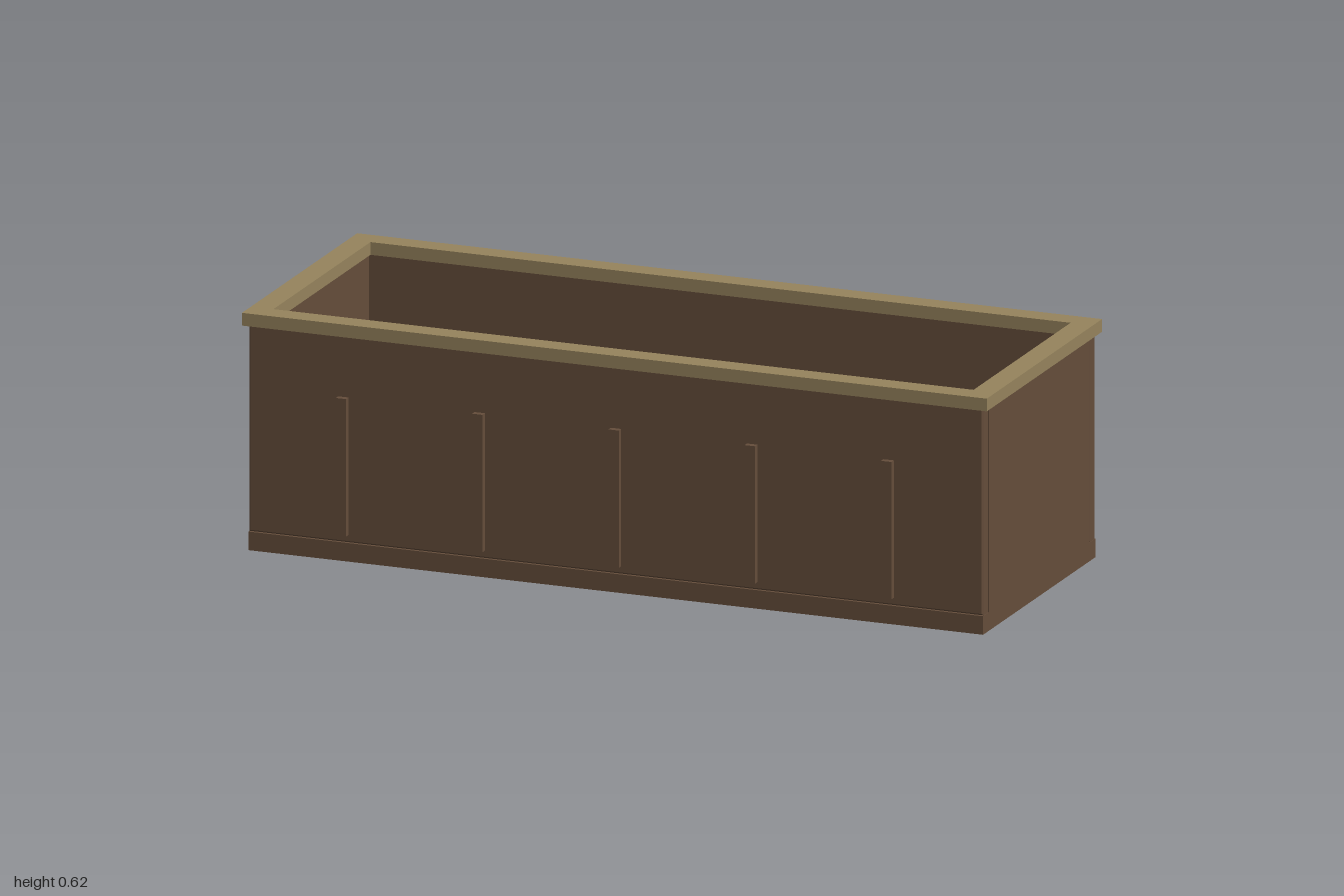
import * as THREE from 'three';

export function createModel() {
  const model = new THREE.Group();
  const wood = new THREE.MeshStandardMaterial({ color: 0x664e3b });
  wood.name = 'brown wood';
  const trim = new THREE.MeshStandardMaterial({ color: 0x96845d });
  trim.name = 'tan trim';

  function add(name, geometry, material, x, y, z) {
    const mesh = new THREE.Mesh(geometry, material);
    mesh.name = name;
    mesh.position.set(x, y, z);
    model.add(mesh);
    return mesh;
  }

  function rectangle(w, h, x = 0, y = 0, Type = THREE.Shape) {
    return new Type([
      new THREE.Vector2(x - w / 2, y - h / 2), new THREE.Vector2(x + w / 2, y - h / 2),
      new THREE.Vector2(x + w / 2, y + h / 2), new THREE.Vector2(x - w / 2, y + h / 2),
    ]);
  }

  // Board in the XY plane with chamfered edges, centred on the origin
  function chamferedBoard(w, h, d, c) {
    const geometry = new THREE.ExtrudeGeometry(rectangle(w - 2 * c, h - 2 * c), {
      depth: d - 2 * c, bevelEnabled: true, bevelSize: c, bevelThickness: c, bevelSegments: 1,
    });
    return geometry.translate(0, 0, -d / 2 + c);
  }

  // Floor slab with two square drain holes
  const floorShape = rectangle(1.972, 0.738);
  for (const side of [-1, 1]) {
    floorShape.holes.push(rectangle(0.055, 0.055, side * 0.415, 0, THREE.Path));
  }
  const floor = new THREE.ExtrudeGeometry(floorShape, { depth: 0.048, bevelEnabled: false });
  add('floor', floor.rotateX(-Math.PI / 2), wood, 0, 0, 0);

  // Long walls with chamfered edges, and upright battens on their outer faces
  const wall = chamferedBoard(1.972, 0.535, 0.037, 0.004);
  const batten = new THREE.BoxGeometry(0.028, 0.356, 0.02);
  for (const side of [-1, 1]) {
    add(side > 0 ? 'frontWall' : 'backWall', wall, wood, 0, 0.3165, side * 0.3495);
    for (let i = -2; i <= 2; i++) {
      add('batten', batten, wood, i * 0.366, 0.247, side * 0.374);
    }
  }

  // End walls fitted between the long walls
  const endWall = new THREE.BoxGeometry(0.037, 0.537, 0.662);
  for (const side of [-1, 1]) {
    add(side > 0 ? 'leftEndWall' : 'rightEndWall', endWall, wood, side * 0.9675, 0.3155, 0);
  }

  // Rim boards, butted at the corners and overhanging the walls
  const longRim = new THREE.BoxGeometry(2, 0.033, 0.06);
  const shortRim = new THREE.BoxGeometry(0.06, 0.033, 0.638);
  for (const side of [-1, 1]) {
    add('longRim', longRim, trim, 0, 0.5995, side * 0.349);
    add('shortRim', shortRim, trim, side * 0.97, 0.5995, 0);
  }

  return model;
}
